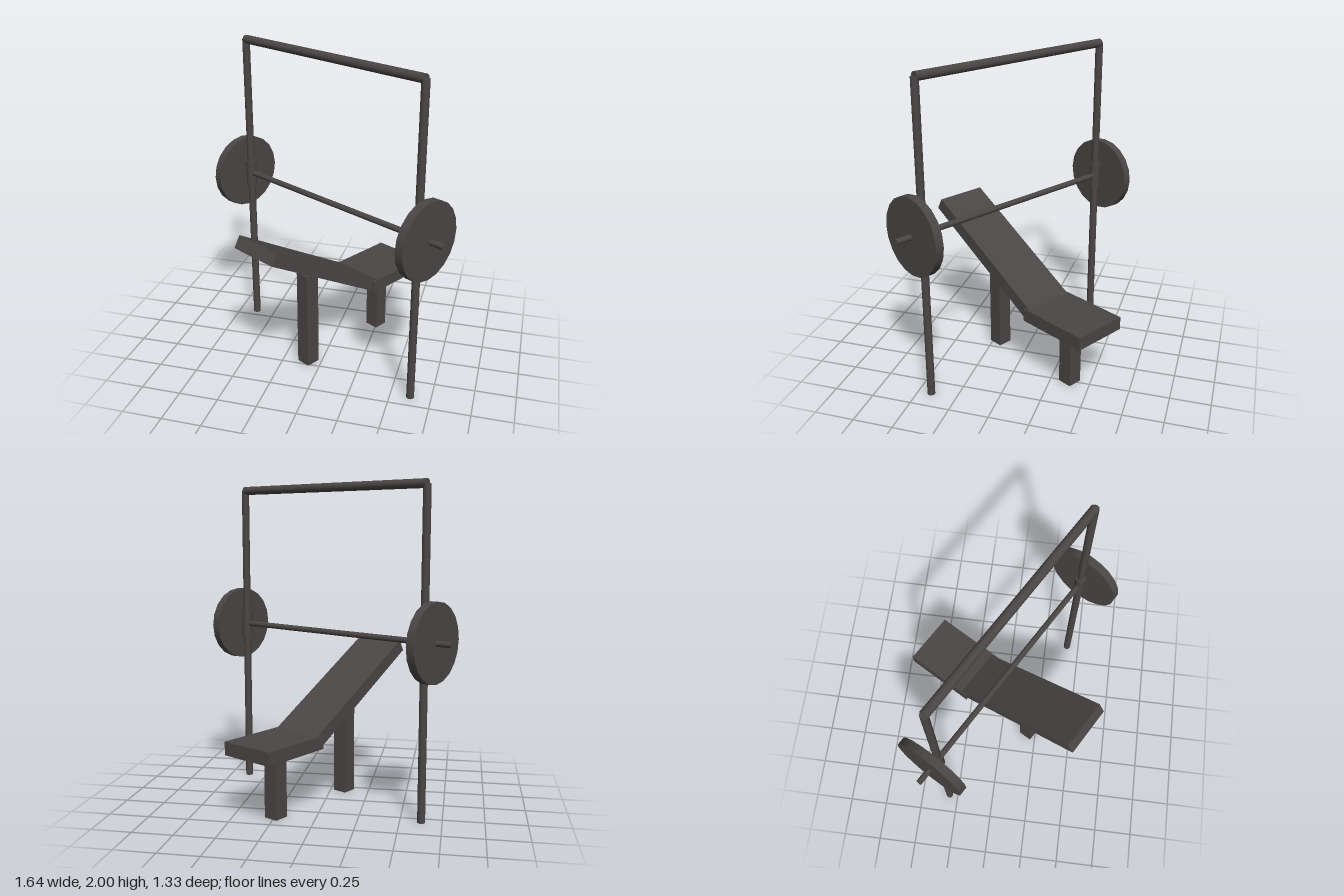
import * as THREE from 'three';

export function createModel() {
  const model = new THREE.Group();
  model.name = 'weightBench';
  const darkIron = new THREE.MeshStandardMaterial({ color: 0x4a4645 });
  darkIron.name = 'darkIron';

  // Everything is built square to local axes, then turned as a whole
  const bench = new THREE.Group();
  bench.name = 'benchAndRack';
  bench.rotation.y = -Math.PI / 6;
  model.add(bench);
  const CX = 0.025, BAR_Z = 0.047, BAR_Y = 1.079;

  function add(name, geometry, x, y, z) {
    const mesh = new THREE.Mesh(geometry, darkIron);
    mesh.name = name;
    mesh.position.set(CX + x, y, z);
    bench.add(mesh);
    return mesh;
  }
  const box = (name, w, h, d, x, y, z) => add(name, new THREE.BoxGeometry(w, h, d), x, y, z);
  const rod = (name, r, length, x, y, z, sides = 16) =>
    add(name, new THREE.CylinderGeometry(r, r, length, sides), x, y, z);
  const crossRod = (name, r, length, x, y, z, sides) => {
    const mesh = rod(name, r, length, x, y, z, sides);
    mesh.rotation.z = Math.PI / 2;
    return mesh;
  };

  // Bench: flat seat, backrest rising towards the front, two square legs
  box('seat', 0.358, 0.082, 0.475, 0, 0.446, -0.443);
  const slope = Math.PI / 6, length = 1.006, thickness = 0.082;
  const backrest = box('backrest', 0.334, thickness, length, 0,
    0.405 + Math.sin(slope) * length / 2 + Math.cos(slope) * thickness / 2,
    -0.226 + Math.cos(slope) * length / 2 - Math.sin(slope) * thickness / 2);
  backrest.rotation.x = -slope;
  box('backrestLeg', 0.094, 0.65, 0.094, 0, 0.325, 0.217);
  box('seatLeg', 0.094, 0.41, 0.094, 0, 0.205, -0.44);

  // Rack and bar
  crossRod('topBar', 0.027, 1.446, 0, 1.973, BAR_Z);
  crossRod('barbell', 0.018, 1.808, 0, BAR_Y, BAR_Z);
  for (const [side, s] of [['left', 1], ['right', -1]]) {
    rod(side + 'Post', 0.024, 1.973, s * 0.722, 0.9865, BAR_Z);
    rod(side + 'Sleeve', 0.034, 0.165, s * 0.722, BAR_Y, BAR_Z);
    crossRod(side + 'WeightPlate', 0.238, 0.052, s * 0.781, BAR_Y, BAR_Z, 20);
  }
  return model;
}
